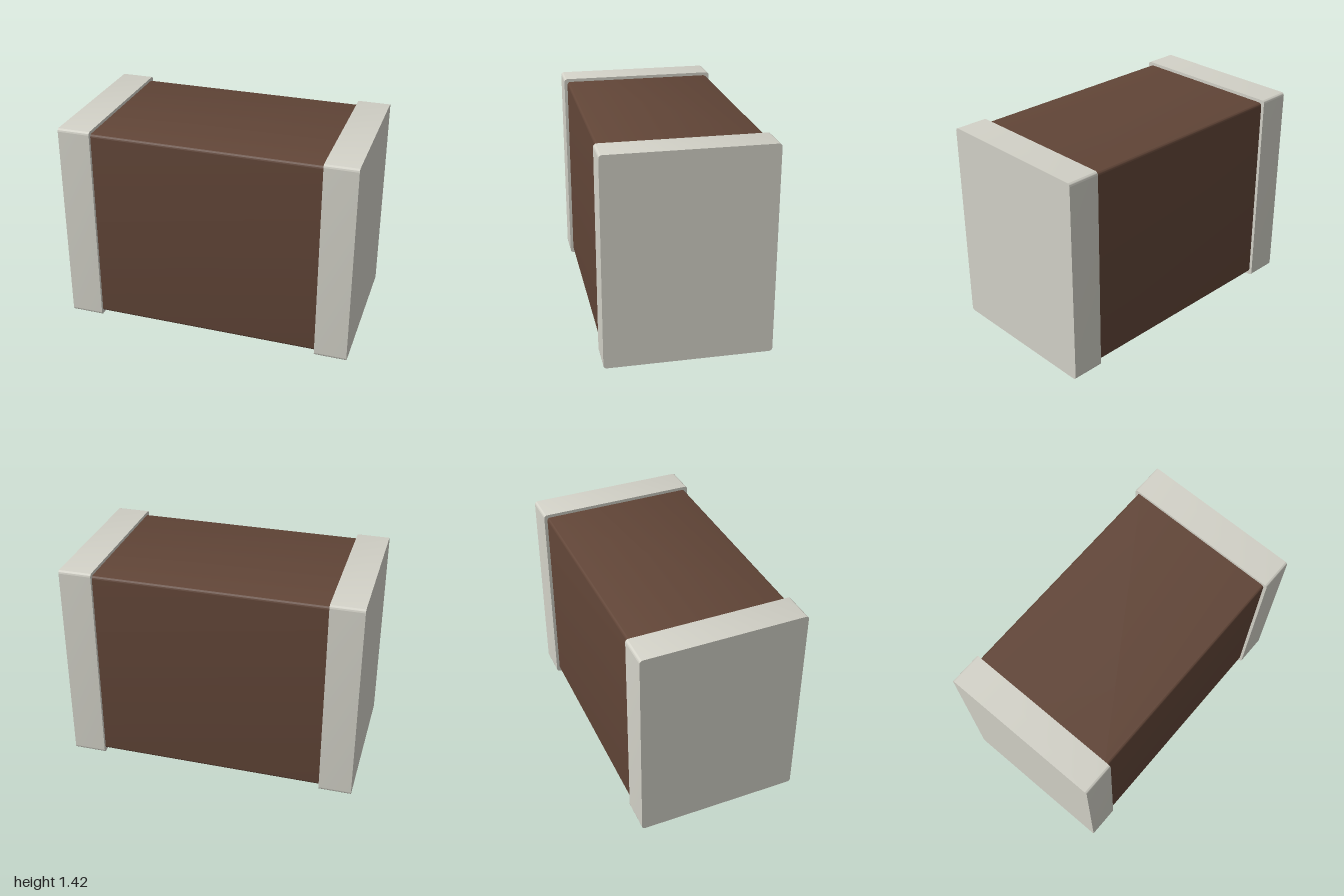
import * as THREE from 'three';
import { toCreasedNormals } from 'three/addons/utils/BufferGeometryUtils.js';

const HEIGHT = 1.42;

// Bar running along x from x0 to x1, with its four long edges rounded
function roundedBar(name, x0, x1, height, depth, radius, material) {
  const w = depth / 2, h = height / 2, r = radius;
  const s = new THREE.Shape();
  s.moveTo(-w + r, -h);
  s.lineTo(w - r, -h);
  s.absarc(w - r, -h + r, r, -Math.PI / 2, 0);
  s.lineTo(w, h - r);
  s.absarc(w - r, h - r, r, 0, Math.PI / 2);
  s.lineTo(-w + r, h);
  s.absarc(-w + r, h - r, r, Math.PI / 2, Math.PI);
  s.lineTo(-w, -h + r);
  s.absarc(-w + r, -h + r, r, Math.PI, Math.PI * 1.5);
  const geo = new THREE.ExtrudeGeometry(s, { depth: x1 - x0, bevelEnabled: false, curveSegments: 8 });
  geo.rotateY(Math.PI / 2);
  geo.translate(x0, HEIGHT / 2, 0);
  const mesh = new THREE.Mesh(toCreasedNormals(geo, Math.PI / 6), material);
  mesh.name = name;
  return mesh;
}

export function createModel() {
  const ceramic = new THREE.MeshStandardMaterial({ color: 0x614537 });
  ceramic.name = 'brown ceramic';
  const metal = new THREE.MeshStandardMaterial({ color: 0xd2d1c7 });
  metal.name = 'grey metal';

  const group = new THREE.Group();
  group.name = 'chipComponent';

  // Ceramic block between the end caps
  group.add(roundedBar('body', -0.78, 0.78, 1.376, 1.066, 0.022, ceramic));

  // Slightly larger metal end caps
  group.add(roundedBar('leftEndCap', 0.778, 1, HEIGHT, 1.11, 0.022, metal));
  group.add(roundedBar('rightEndCap', -1, -0.778, HEIGHT, 1.11, 0.022, metal));
  return group;
}
